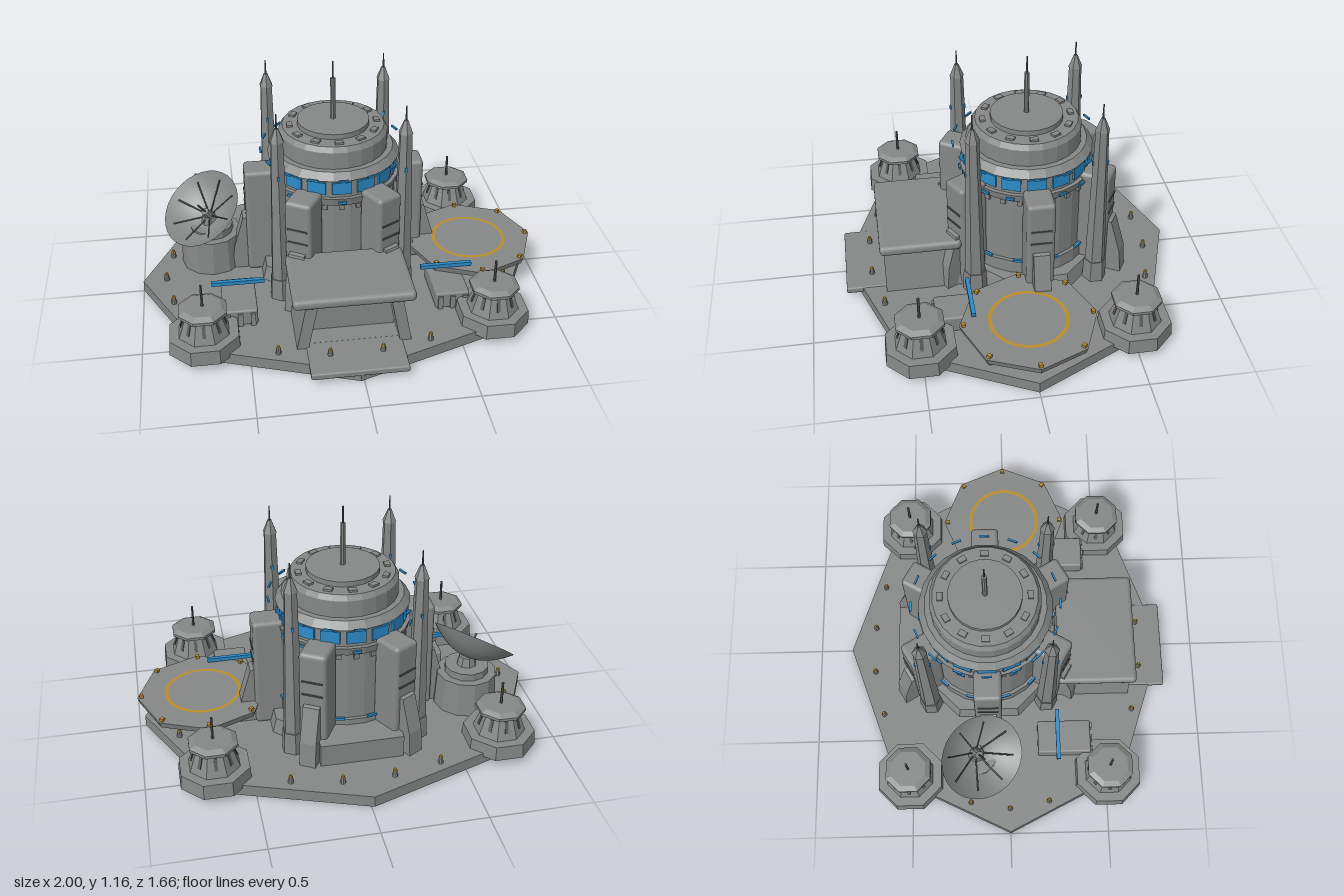
import * as THREE from 'three';
import { RoundedBoxGeometry } from 'three/addons/geometries/RoundedBoxGeometry.js';

const hull = new THREE.MeshStandardMaterial({ color: 0x858887 });
hull.name = 'hull grey';
const dark = new THREE.MeshStandardMaterial({ color: 0x585b5a });
dark.name = 'dark grey';
const blue = new THREE.MeshStandardMaterial({ color: 0x2b8bc8 });
blue.name = 'light blue';
const yellow = new THREE.MeshStandardMaterial({ color: 0xb88c2c });
yellow.name = 'marking yellow';
const bowlGrey = new THREE.MeshStandardMaterial({ color: 0x858887, side: THREE.DoubleSide });
bowlGrey.name = 'dish grey';

const CX = -0.016, CZ = -0.1; // tower axis

function add(parent, name, geo, mat, x = 0, y = 0, z = 0) {
  const m = new THREE.Mesh(geo, mat);
  m.name = name;
  m.position.set(x, y, z);
  parent.add(m);
  return m;
}

function group(parent, name, x = 0, y = 0, z = 0, turn = 0) {
  const g = new THREE.Group();
  g.name = name;
  g.position.set(x, y, z);
  g.rotation.y = turn;
  parent.add(g);
  return g;
}

// faceted frustum between two heights
function frustum(parent, name, rTop, rBottom, y0, y1, sides, mat, x = 0, z = 0, turn = 0) {
  let geo = new THREE.CylinderGeometry(rTop, rBottom, y1 - y0, sides).rotateY(turn);
  geo = geo.toNonIndexed();
  geo.computeVertexNormals();
  return add(parent, name, geo, mat, x, (y0 + y1) / 2, z);
}

// box given by its limits
function block(parent, name, x0, x1, y0, y1, z0, z1, mat, radius = 0) {
  const s = [x1 - x0, y1 - y0, z1 - z0];
  const geo = radius ? new RoundedBoxGeometry(...s, 2, radius) : new THREE.BoxGeometry(...s);
  return add(parent, name, geo, mat, (x0 + x1) / 2, (y0 + y1) / 2, (z0 + z1) / 2);
}

function prism(points, depth) {
  const shape = new THREE.Shape(points.map(p => new THREE.Vector2(...p)));
  return new THREE.ExtrudeGeometry(shape, { depth, bevelEnabled: false });
}

// calls build(group, i) for copies around the axis, with +z pointing outward
function around(parent, name, count, build, offset = 0) {
  for (let i = 0; i < count; i++) {
    build(group(parent, name, 0, 0, 0, offset + i * Math.PI * 2 / count), i);
  }
}

function rod(parent, name, a, b, r, mat) {
  const path = new THREE.LineCurve3(a, b);
  return add(parent, name, new THREE.TubeGeometry(path, 1, r, 6), mat);
}

function buildTower(root) {
  const t = group(root, 'tower', CX, 0, CZ);
  frustum(t, 'towerFoot', 0.39, 0.41, 0.055, 0.13, 8, hull, 0, 0, Math.PI / 8);
  // stacked drums: top radius, bottom radius, from, to
  const drums = [
    [0.325, 0.325, 0.13, 0.2], [0.308, 0.308, 0.2, 0.56], [0.328, 0.318, 0.56, 0.6],
    [0.308, 0.308, 0.6, 0.695], [0.295, 0.325, 0.695, 0.73], [0.267, 0.267, 0.73, 0.815],
    [0.25, 0.267, 0.815, 0.84], [0.176, 0.176, 0.84, 0.866]];
  drums.forEach(d => frustum(t, 'drum', ...d, 24, hull, 0, 0, Math.PI / 24));
  frustum(t, 'mast', 0.0125, 0.0125, 0.866, 1.08, 8, hull);
  frustum(t, 'mastNeedle', 0.004, 0.004, 1.08, 1.165, 6, dark);

  around(t, 'windowBay', 16, g => {
    block(g, 'window', -0.046, 0.046, 0.618, 0.68, 0.304, 0.313, blue);
    block(g, 'upperLamp', -0.024, 0.024, 0.712, 0.722, 0.355, 0.364, blue);
    block(g, 'lowerLamp', -0.02, 0.02, 0.575, 0.588, 0.326, 0.335, blue);
  });
  around(t, 'footLamp', 12, g => block(g, 'lamp', -0.03, 0.03, 0.2, 0.212, 0.318, 0.33, blue), Math.PI / 12);
  around(t, 'roofVent', 12, g => block(g, 'vent', -0.02, 0.02, 0.835, 0.85, 0.2, 0.228, hull));
  around(t, 'wallRib', 24, g => block(g, 'rib', -0.012, 0.012, 0.535, 0.56, 0.3, 0.318, hull));

  // six buttresses, starting from the sides
  around(t, 'buttress', 6, (g, i) => {
    block(g, 'buttressBody', -0.068, 0.068, 0.055, 0.625, 0.295, 0.447, hull, 0.02);
    for (const y of [0.41, 0.48]) block(g, 'buttressSlot', -0.05, 0.05, y - 0.004, y + 0.004, 0.44, 0.452, dark);
    if (i === 1 || i === 2 || i === 0 || i === 3 || i === 4 || i === 5) {
      const wedge = prism([[0.43, 0.055], [0.525, 0.055], [0.515, 0.18], [0.465, 0.35], [0.43, 0.36]], 0.08);
      wedge.rotateY(-Math.PI / 2).translate(0.04, 0, 0);
      add(g, 'buttressStrut', wedge, hull);
    }
  }, Math.PI / 2);

  // four corner spires
  for (const x of [-0.3, 0.3]) for (const z of [-0.3, 0.3]) {
    const s = group(t, 'spire', x, 0, z);
    frustum(s, 'spireFoot', 0.055, 0.06, 0.055, 0.17, 6, hull);
    frustum(s, 'spireShaft', 0.032, 0.05, 0.17, 0.92, 6, hull);
    frustum(s, 'spireTip', 0.01, 0.036, 0.92, 0.985, 6, hull);
    frustum(s, 'spireNeedle', 0.003, 0.005, 0.985, 1.058, 6, dark);
    block(s, 'spireLamp', -0.006, 0.006, 0.73, 0.75, -0.04, 0.04, blue);
  }
  block(t, 'rearAnnex', -0.2, 0.2, 0.055, 0.17, -0.465, -0.3, hull);
}

function buildHangar(root) {
  const h = group(root, 'hangar', CX, 0, 0);
  block(h, 'hangarRoof', -0.285, 0.285, 0.285, 0.337, 0.258, 0.655, hull, 0.022);
  // slanted side walls
  for (const s of [-1, 1]) {
    const pts = [[0.27, 0.055], [0.225, 0.29], [0.17, 0.29], [0.215, 0.055]].map(([x, y]) => [s * x, y]);
    add(h, 'hangarWall', prism(pts, 0.38), hull, 0, 0, 0.255);
  }
  block(h, 'hangarDoor', -0.21, 0.21, 0.055, 0.29, 0.25, 0.5, hull);
  block(h, 'doorLintel', -0.19, 0.19, 0.255, 0.29, 0.5, 0.6, hull);
  block(h, 'doorLight', -0.145, 0.145, 0.242, 0.249, 0.5, 0.508, blue);
  block(h, 'ramp', -0.226, 0.226, 0.03, 0.062, 0.6, 0.83, hull, 0.008);
}

function buildLandingPad(root) {
  const p = group(root, 'landingPad', 0.675, 0, 0);
  frustum(p, 'padDeck', 0.325, 0.315, 0.14, 0.172, 8, hull, 0, 0, 0);
  frustum(p, 'padColumn', 0.09, 0.11, 0.055, 0.14, 8, hull, -0.05);
  const ring = new THREE.RingGeometry(0.172, 0.19, 48).rotateX(-Math.PI / 2);
  add(p, 'padRing', ring, yellow, 0, 0.175, 0);
  around(p, 'padLight', 8, g => block(g, 'lamp', -0.009, 0.009, 0.17, 0.188, 0.295, 0.313, yellow));
}

function buildCornerTurret(root, x, z) {
  const t = group(root, 'cornerTurret', x, 0, z);
  const turn = Math.PI / 8;
  frustum(t, 'turretFoot', 0.172, 0.178, 0.04, 0.113, 8, hull, 0, 0, turn);
  frustum(t, 'turretBody', 0.085, 0.125, 0.113, 0.225, 8, hull, 0, 0, turn);
  frustum(t, 'turretCap', 0.12, 0.12, 0.225, 0.24, 8, hull, 0, 0, turn);
  frustum(t, 'turretRoof', 0.092, 0.12, 0.24, 0.255, 8, hull, 0, 0, turn);
  frustum(t, 'turretAerial', 0.006, 0.007, 0.25, 0.37, 6, dark);
  around(t, 'turretSlit', 8, g => {
    const s = add(g, 'slit', new THREE.BoxGeometry(0.016, 0.06, 0.008), dark, 0, 0.175, 0.095);
    s.rotation.x = -0.32;
  });
}

function buildDish(root) {
  const d = group(root, 'dishStation', -0.64, 0, -0.17);
  frustum(d, 'dishPlinth', 0.15, 0.16, 0.055, 0.235, 12, hull);
  frustum(d, 'dishTurntable', 0.11, 0.11, 0.235, 0.272, 12, hull);
  frustum(d, 'dishNeck', 0.04, 0.05, 0.272, 0.32, 8, hull);

  // bowl opens along its own +y, then tilts toward the sky
  const bowl = group(root, 'dish', -0.638, 0.308, -0.172);
  bowl.quaternion.setFromUnitVectors(new THREE.Vector3(0, 1, 0), new THREE.Vector3(-0.47, 0.786, 0.39).normalize());
  const R = 0.212, depth = 0.1, profile = [];
  for (let i = 0; i <= 8; i++) profile.push(new THREE.Vector2(R * i / 8, depth * (i / 8) ** 2));
  add(bowl, 'bowl', new THREE.LatheGeometry(profile, 32), bowlGrey);
  for (let i = 0; i < 8; i++) {
    const a = i * Math.PI / 4;
    rod(bowl, 'bowlRib', new THREE.Vector3(0, 0.012, 0),
      new THREE.Vector3(Math.cos(a) * 0.175, 0.082, Math.sin(a) * 0.175), 0.004, dark);
  }
  frustum(bowl, 'feedHub', 0.02, 0.026, 0, 0.06, 10, hull);
  frustum(bowl, 'feedNeedle', 0.005, 0.005, 0.06, 0.13, 6, dark);
}

export function createModel() {
  const root = new THREE.Group();
  root.name = 'outpost';

  // eight-sided ground slab
  const slab = frustum(root, 'groundSlab', 0.985, 0.985, 0, 0.057, 8, hull, CX + 0.002);
  slab.scale.z = 0.84;

  buildTower(root);
  buildHangar(root);
  buildLandingPad(root);
  buildDish(root);
  for (const x of [-0.706, 0.674]) for (const z of [-0.508, 0.504]) buildCornerTurret(root, x, z);

  // low stores beside the hangar, each under a light bar
  for (const s of [-1, 1]) {
    const g = group(root, 'store', CX + s * 0.515, 0, 0.285);
    block(g, 'storeBody', -0.083, 0.083, 0.055, 0.14, -0.135, 0.135, hull, 0.01);
    block(g, 'lightBar', -0.128, 0.128, 0.178, 0.198, -0.045, -0.025, blue);
    for (const x of [-0.06, 0, 0.06]) block(g, 'storeRib', x - 0.012, x + 0.012, 0.055, 0.125, 0.13, 0.145, hull);
  }

  // bollards with lamps along the slab edge
  for (const sx of [-1, 1]) {
    const spots = [[0.123, 0.7], [0.123, -0.7], [0.357, 0.65], [0.357, -0.65], [0.865, 0], [0.83, 0.2], [0.83, -0.2]];
    for (const [x, z] of spots) {
      const b = group(root, 'bollard', CX + sx * x, 0, z);
      frustum(b, 'bollardPost', 0.01, 0.014, 0.055, 0.09, 8, hull);
      frustum(b, 'bollardLamp', 0.006, 0.01, 0.09, 0.1, 8, yellow);
    }
  }
  return root;
}
